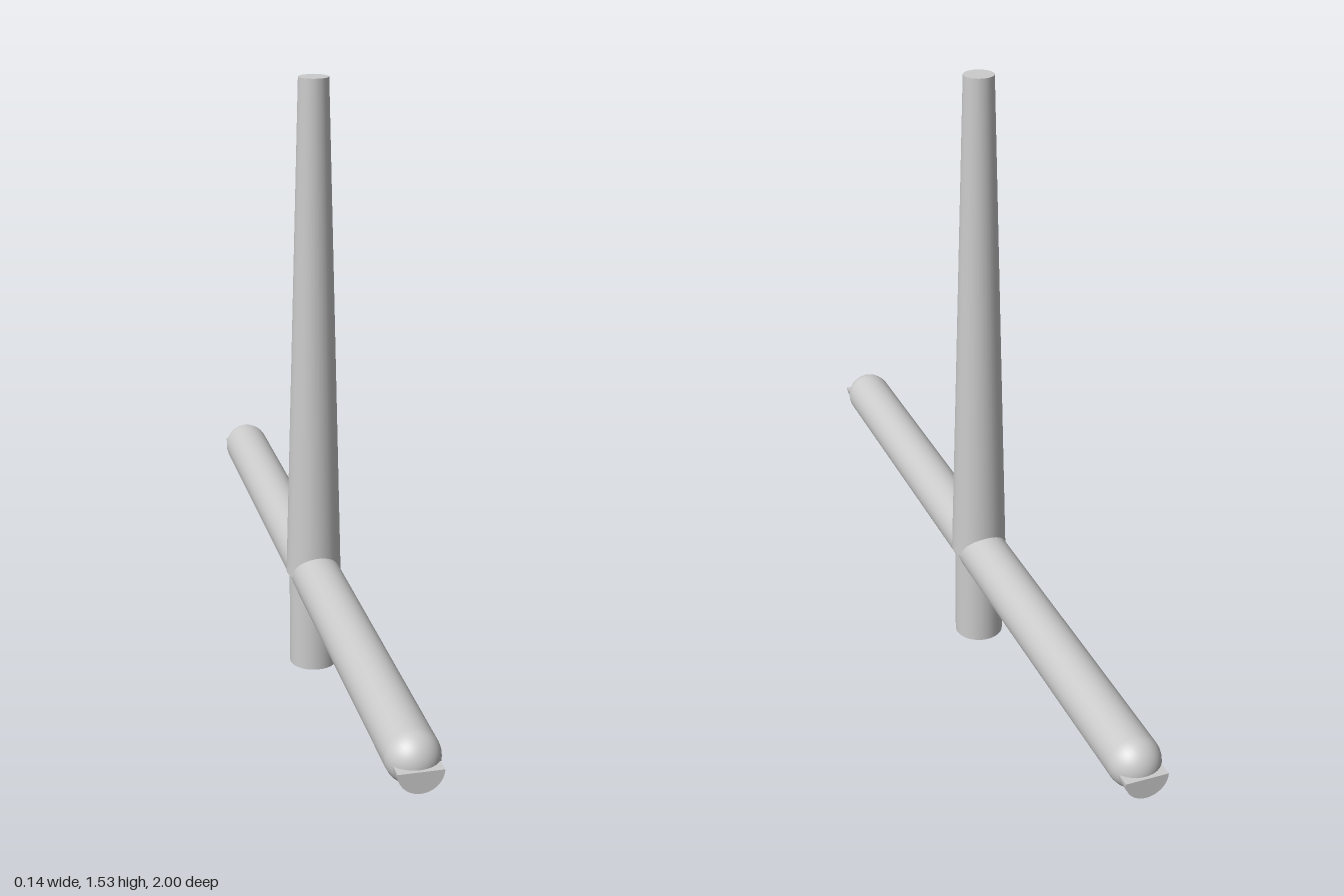
import * as THREE from 'three';

export function createModel() {
  const group = new THREE.Group();
  const material = new THREE.MeshStandardMaterial({ color: 0xcccccc });
  const barY = 0.257, barRadius = 0.062, barEnd = 0.93;

  const add = (name, geometry, y, z = 0) => {
    const mesh = new THREE.Mesh(geometry, material);
    mesh.name = name;
    mesh.position.set(0, y, z);
    group.add(mesh);
    return mesh;
  };

  // Straight lower post and the slightly wider tapered shaft above it
  add('lowerPost', new THREE.CylinderGeometry(0.062, 0.062, barY, 32), barY / 2);
  const shaftHeight = 1.53 - barY;
  add('taperedShaft', new THREE.CylinderGeometry(0.037, 0.07, shaftHeight, 32), barY + shaftHeight / 2);

  // Round-ended crossbar running front to back
  const bar = add('crossbar', new THREE.CapsuleGeometry(barRadius, barEnd * 2, 12, 32), barY);
  bar.rotation.x = Math.PI / 2;

  // Half-round tongue, flat side up, poking out of each bar end
  const halfDisc = new THREE.Shape();
  halfDisc.absarc(0, 0, 0.051, Math.PI, Math.PI * 2, false);
  halfDisc.closePath();
  const tongue = new THREE.ExtrudeGeometry(halfDisc, { depth: 1 - barEnd, bevelEnabled: false, curveSegments: 24 });
  add('frontTongue', tongue, barY, barEnd);
  add('backTongue', tongue, barY, -1);

  return group;
}
